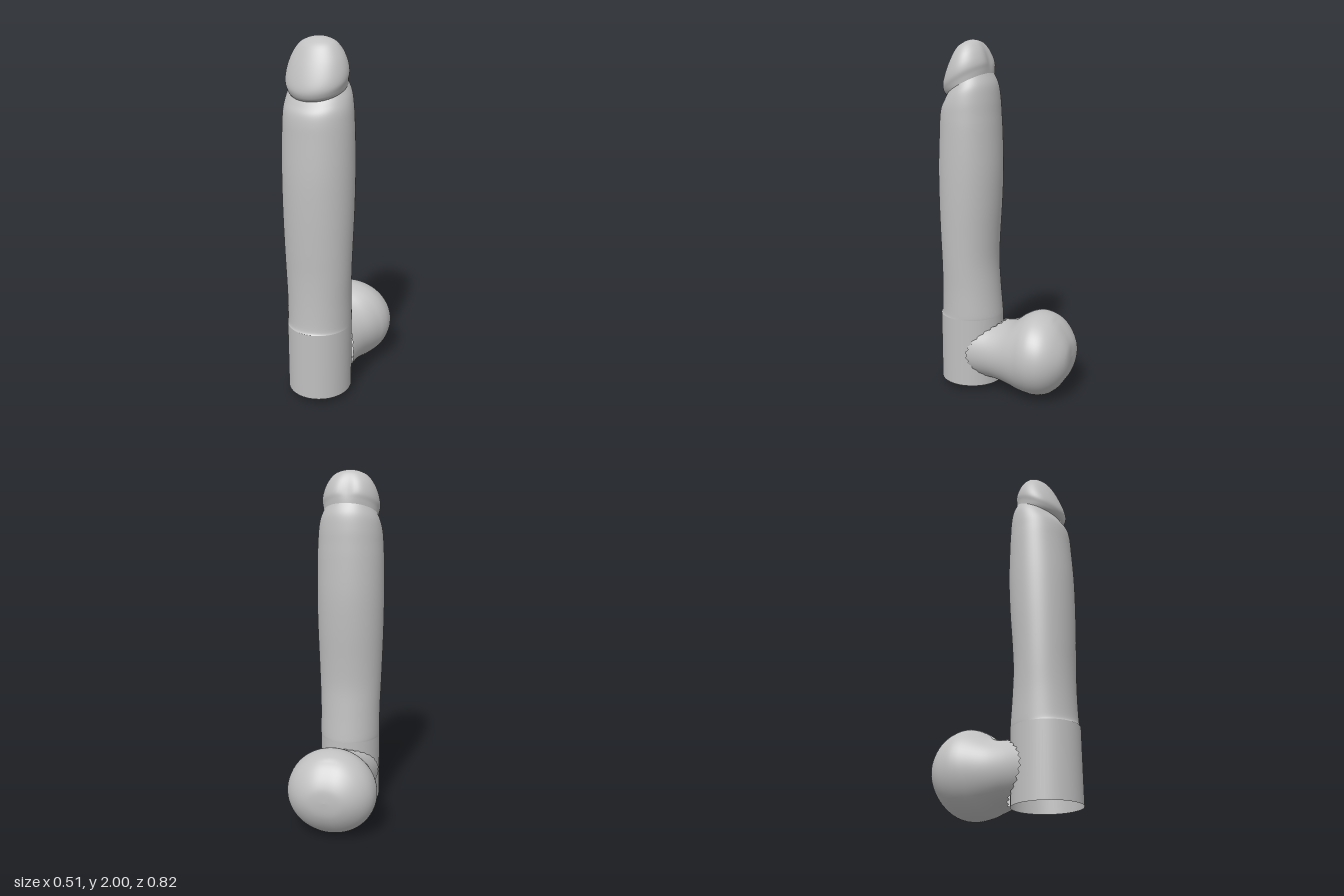
import * as THREE from 'three';

// Catmull-Rom refinement of a table of section rows
function refine(rows, steps) {
  const out = [];
  const at = (i) => rows[Math.max(0, Math.min(rows.length - 1, i))];
  for (let i = 0; i < rows.length - 1; i++) {
    for (let s = 0; s < steps; s++) {
      const t = s / steps;
      out.push(rows[i].map((b, k) => {
        const a = at(i - 1)[k], c = at(i + 1)[k], d = at(i + 2)[k];
        return 0.5 * (2 * b + (c - a) * t + (2 * a - 5 * b + 4 * c - d) * t * t
          + (3 * b - a - 3 * c + d) * t * t * t);
      }));
    }
  }
  out.push(rows[rows.length - 1]);
  return out;
}

// Closed-loop loft: point(row, angle, rowIndex, columnIndex) gives [x, y, z]
function loft(rows, point, n = 64) {
  const pos = [], idx = [];
  rows.forEach((row, i) => {
    for (let j = 0; j < n; j++) pos.push(...point(row, (j / n) * Math.PI * 2, i, j));
  });
  for (let i = 0; i < rows.length - 1; i++) {
    for (let j = 0; j < n; j++) {
      const a = i * n + j, b = i * n + ((j + 1) % n);
      idx.push(a, b, b + n, a, b + n, a + n);
    }
  }
  const g = new THREE.BufferGeometry();
  g.setAttribute('position', new THREE.Float32BufferAttribute(pos, 3));
  g.setIndex(idx);
  g.computeVertexNormals();
  return g;
}

// Tilted oval section: [front y, front z, back y, back z, half width, groove]
function tiltedOval([yF, zF, yB, zB, w, groove], a) {
  const c = Math.cos(a);
  const fromBack = Math.PI - a;
  const k = 1 - groove * Math.exp(-((fromBack / 0.28) ** 2));
  return [
    Math.sin(a) * w * k,
    (yF + yB) / 2 + c * k * (yF - yB) / 2,
    (zF + zB) / 2 + c * k * (zF - zB) / 2,
  ];
}

export function createModel() {
  const group = new THREE.Group();
  const grey = new THREE.MeshStandardMaterial({ color: 0xc0c0c0, side: THREE.DoubleSide });
  grey.name = 'plain grey';
  const add = (name, geometry) => {
    const mesh = new THREE.Mesh(geometry, grey);
    mesh.name = name;
    group.add(mesh);
  };

  // Straight, open-ended sleeve at the bottom
  add('base', loft([
    [0.03, 0.41, 0.03, 0.04, 0.18, 0],
    [0.43, 0.41, 0.43, 0.04, 0.18, 0],
  ], tiltedOval));

  // Gently swelling shaft, its last sections tilting into the neck
  const flat = (y, zF, zB, w) => [y, zF, y, zB, w, 0];
  add('shaft', loft(refine([
    flat(0.43, 0.41, 0.04, 0.18),
    flat(0.46, 0.4, 0.042, 0.18),
    flat(0.6, 0.395, 0.055, 0.18),
    flat(0.75, 0.395, 0.065, 0.185),
    flat(0.9, 0.4, 0.06, 0.19),
    flat(1.1, 0.405, 0.047, 0.196),
    flat(1.3, 0.405, 0.04, 0.198),
    flat(1.5, 0.395, 0.045, 0.195),
    [1.58, 0.39, 1.6, 0.05, 0.191, 0],
    [1.63, 0.38, 1.68, 0.055, 0.186, 0],
    [1.665, 0.36, 1.76, 0.067, 0.175, 0],
    [1.69, 0.345, 1.82, 0.092, 0.157, 0.02],
  ], 5), tiltedOval));

  // Rounded head with a shallow groove at the back
  add('head', loft(refine([
    [1.69, 0.345, 1.82, 0.092, 0.157, 0.02],
    [1.705, 0.362, 1.85, 0.09, 0.161, 0.06],
    [1.74, 0.371, 1.88, 0.09, 0.167, 0.1],
    [1.8, 0.357, 1.915, 0.102, 0.16, 0.1],
    [1.88, 0.327, 1.95, 0.122, 0.138, 0.08],
    [1.95, 0.29, 1.982, 0.15, 0.1, 0.04],
    [1.985, 0.25, 1.995, 0.175, 0.055, 0],
    [1.998, 0.222, 2, 0.2, 0.015, 0],
    [2, 0.211, 2, 0.211, 0, 0],
  ], 5), tiltedOval));

  // Rear bulb: [z, bottom y, top y, half width, wrap around the base]
  const bulb = refine([
    [0.01, 0.05, 0.4, 0.187, 1],
    [-0.03, 0.042, 0.405, 0.188, 0.7],
    [-0.07, 0.027, 0.422, 0.2, 0.35],
    [-0.12, 0.01, 0.458, 0.23, 0],
    [-0.17, 0.002, 0.482, 0.247, 0],
    [-0.22, 0, 0.488, 0.255, 0],
    [-0.28, 0.015, 0.47, 0.246, 0],
    [-0.33, 0.05, 0.435, 0.216, 0],
    [-0.37, 0.1, 0.385, 0.171, 0],
    [-0.395, 0.15, 0.34, 0.123, 0],
    [-0.406, 0.195, 0.302, 0.075, 0],
    [-0.41, 0.25, 0.25, 0, 0],
  ], 4);
  add('rearBulb', loft(bulb, ([z, yB, yT, w, wrap], a, i, j) => {
    const s = Math.sin(a);
    const x = s * w;
    const ragged = i === 0 && j % 2 ? 0.014 : 0;
    const dimple = z < -0.3 ? 0.005 * Math.exp(-((x / 0.05) ** 2)) : 0;
    return [
      x,
      (yB + yT) / 2 + Math.cos(a) * (yT - yB) / 2,
      z + wrap * 0.16 * s * s + ragged + dimple,
    ];
  }));

  return group;
}
